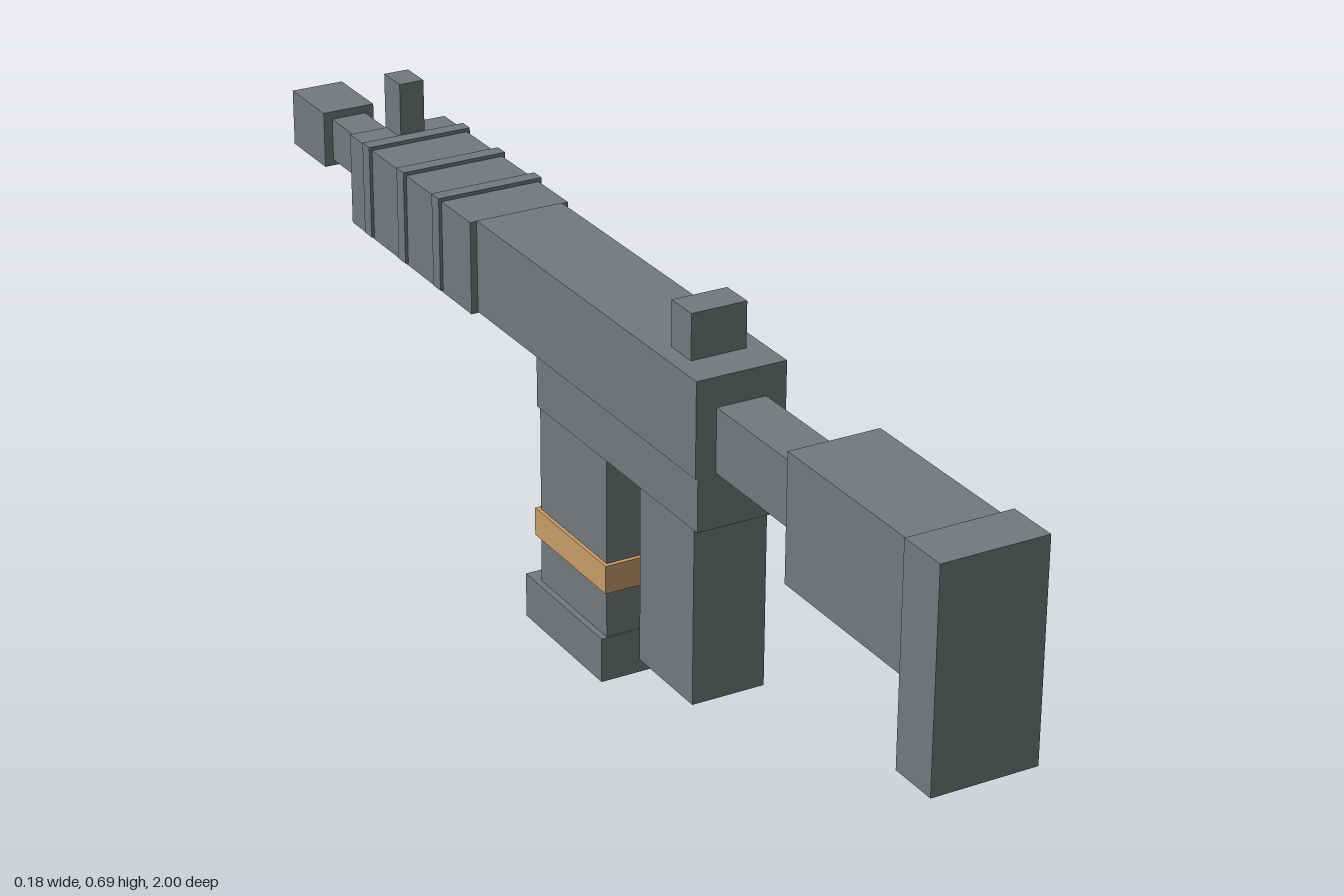
import * as THREE from 'three';

export function createModel() {
  const model = new THREE.Group();
  model.name = 'blockyToyBlaster';
  const grey = new THREE.MeshStandardMaterial({ color: 0x74797b });
  grey.name = 'gunmetal grey';
  const tan = new THREE.MeshStandardMaterial({ color: 0xc89c68 });
  tan.name = 'tan';

  // Box centred on x = 0, given its half width and its y and z ranges
  function block(name, halfWidth, [y0, y1], [z0, z1], material = grey) {
    const geometry = new THREE.BoxGeometry(halfWidth * 2, y1 - y0, z1 - z0);
    const mesh = new THREE.Mesh(geometry, material);
    mesh.name = name;
    mesh.position.set(0, (y0 + y1) / 2, (z0 + z1) / 2);
    model.add(mesh);
  }

  // Stock
  block('buttPad', 0.084, [0.265, 0.605], [0.918, 1]);
  block('stockBody', 0.073, [0.397, 0.596], [0.618, 0.918]);
  block('stockTube', 0.04, [0.452, 0.553], [0.378, 0.618]);

  // Receiver and sights
  block('upperReceiver', 0.073, [0.45, 0.6], [-0.28, 0.378]);
  block('lowerReceiver', 0.069, [0.365, 0.45], [-0.098, 0.378]);
  block('rearSight', 0.045, [0.6, 0.672], [0.26, 0.315]);
  block('frontSight', 0.021, [0.6, 0.69], [-0.697, -0.642]);

  // Grip and magazine
  block('grip', 0.06, [0.074, 0.365], [0.2, 0.354]);
  block('magazine', 0.068, [0.073, 0.365], [-0.09, 0.115]);
  block('magazineBase', 0.078, [0, 0.073], [-0.122, 0.117]);
  block('magazineBand', 0.074, [0.15, 0.196], [-0.098, 0.122], tan);

  // Handguard with raised ribs
  block('handguard', 0.084, [0.448, 0.599], [-0.697, -0.28]);
  for (const z of [-0.387, -0.508, -0.629]) {
    block('handguardRib', 0.089, [0.452, 0.605], [z - 0.012, z + 0.012]);
  }

  // Barrel
  block('barrel', 0.03, [0.482, 0.553], [-0.88, -0.697]);
  block('muzzle', 0.045, [0.472, 0.566], [-1, -0.88]);

  return model;
}
